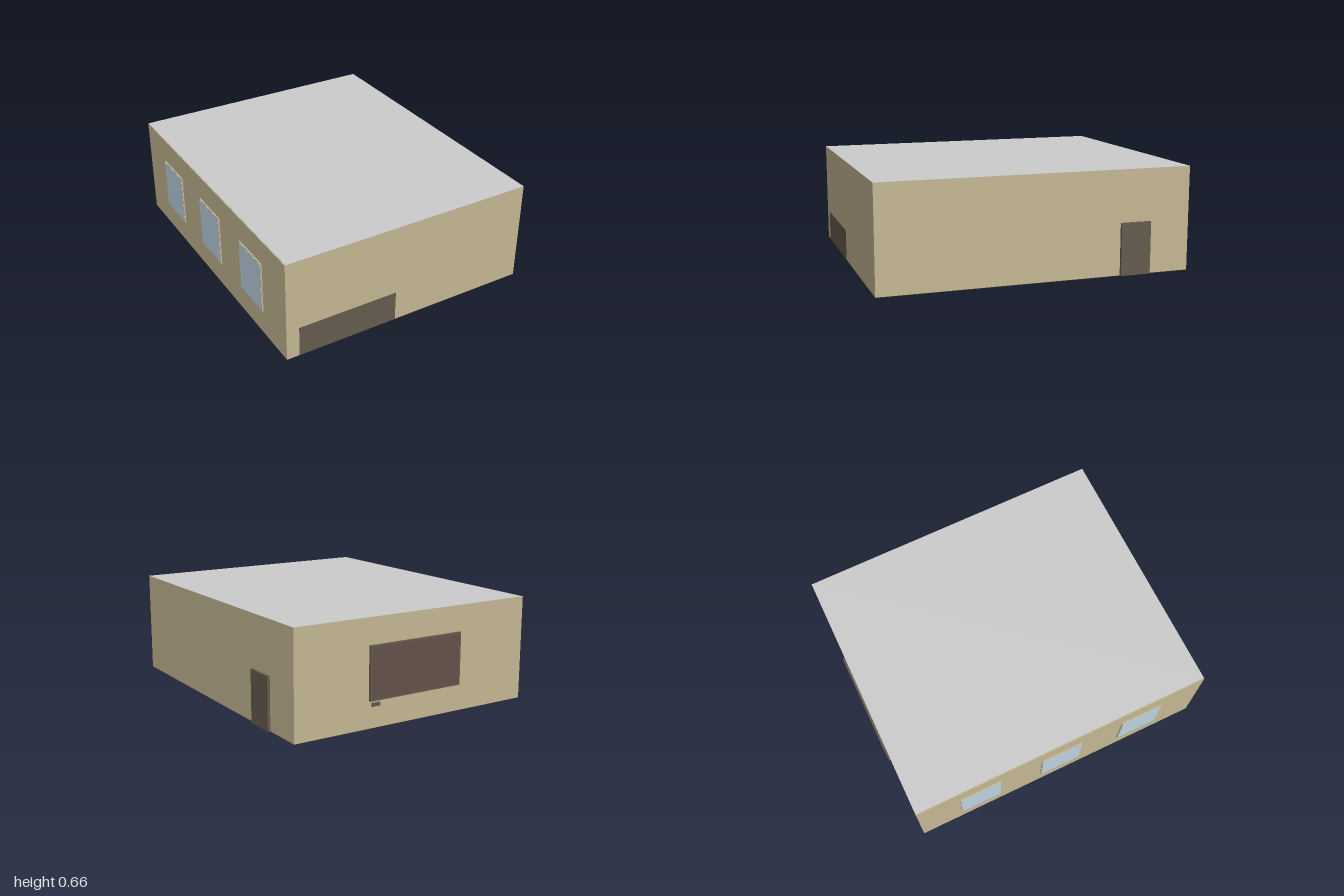
import * as THREE from 'three';

const mat = (color) => new THREE.MeshStandardMaterial({ color });

export function createModel() {
  const room = new THREE.Group();
  room.name = 'classroom';
  const wall = mat(0xc5b794), wood = mat(0x665b4e), frame = mat(0xc5b794);
  const glass = mat(0xbbd3e2), brown = mat(0x5c4033), grey = mat(0xcccccc), slate = mat(0x62524a);

  // Box given by its minimum and maximum on each axis
  const box = (name, material, [x0, x1], [y0, y1], [z0, z1], parent = room) => {
    const mesh = new THREE.Mesh(new THREE.BoxGeometry(x1 - x0, y1 - y0, z1 - z0), material);
    mesh.position.set((x0 + x1) / 2, (y0 + y1) / 2, (z0 + z1) / 2);
    mesh.name = name;
    parent.add(mesh);
    return mesh;
  };

  // Shell: thin floor and ceiling with four walls between them
  const L = -0.84, R = 0.832, B = -0.985, F = 0.999, H = 0.662, T = 0.008;
  const height = [0.002, H - 0.001];
  box('floor', brown, [L, R], [0, 0.002], [B, F]);
  box('ceiling', grey, [L + 0.006, R], [H - 0.001, H], [B, F]);
  box('windowWall', wall, [L, L + T], height, [B, F]);
  box('doorWall', wall, [R - T, R], height, [B, F]);
  box('frontWall', wall, [L + T, R - T], height, [F - T, F]);
  box('backWall', wall, [L + T, R - T], height, [B, B + T]);

  // Three windows: a frame set through the wall with a pane on each face
  [-0.56, 0.008, 0.575].forEach((z) => {
    const win = new THREE.Group();
    win.name = 'window';
    room.add(win);
    box('windowFrame', frame, [-0.849, -0.82], [0.163, 0.5], [z - 0.142, z + 0.142], win);
    box('windowPane', glass, [-0.85, -0.819], [0.17, 0.493], [z - 0.136, z + 0.136], win);
  });

  // Door set through the side wall
  box('door', wood, [0.815, 0.849], [0.002, 0.332], [-0.72, -0.523]);

  // Board through the back wall, with its surface just proud of the frame
  box('boardFrame', wood, [-0.332, 0.332], [0.168, 0.498], [-0.9995, -0.968]);
  box('boardSurface', slate, [-0.322, 0.322], [0.178, 0.488], [-1, -0.967]);
  box('eraser', wood, [0.255, 0.312], [0.132, 0.155], [-0.992, -0.96]);

  // Low bookcase whose back shows in the front wall
  const bookcase = new THREE.Group();
  bookcase.name = 'bookcase';
  room.add(bookcase);
  const x = [-0.757, -0.095], z = [0.87, 0.99];
  box('bookcaseBack', wood, x, [0.002, 0.2], [0.99, 1]);
  bookcase.add(room.children[room.children.length - 1]);
  [0.002, 0.094, 0.186].forEach((y) => box('bookcaseShelf', wood, x, [y, y + 0.014], z, bookcase));
  x.forEach((s, i) => box('bookcaseSide', wood, i ? [s - 0.014, s] : [s, s + 0.014], [0.002, 0.2], z, bookcase));

  return room;
}
